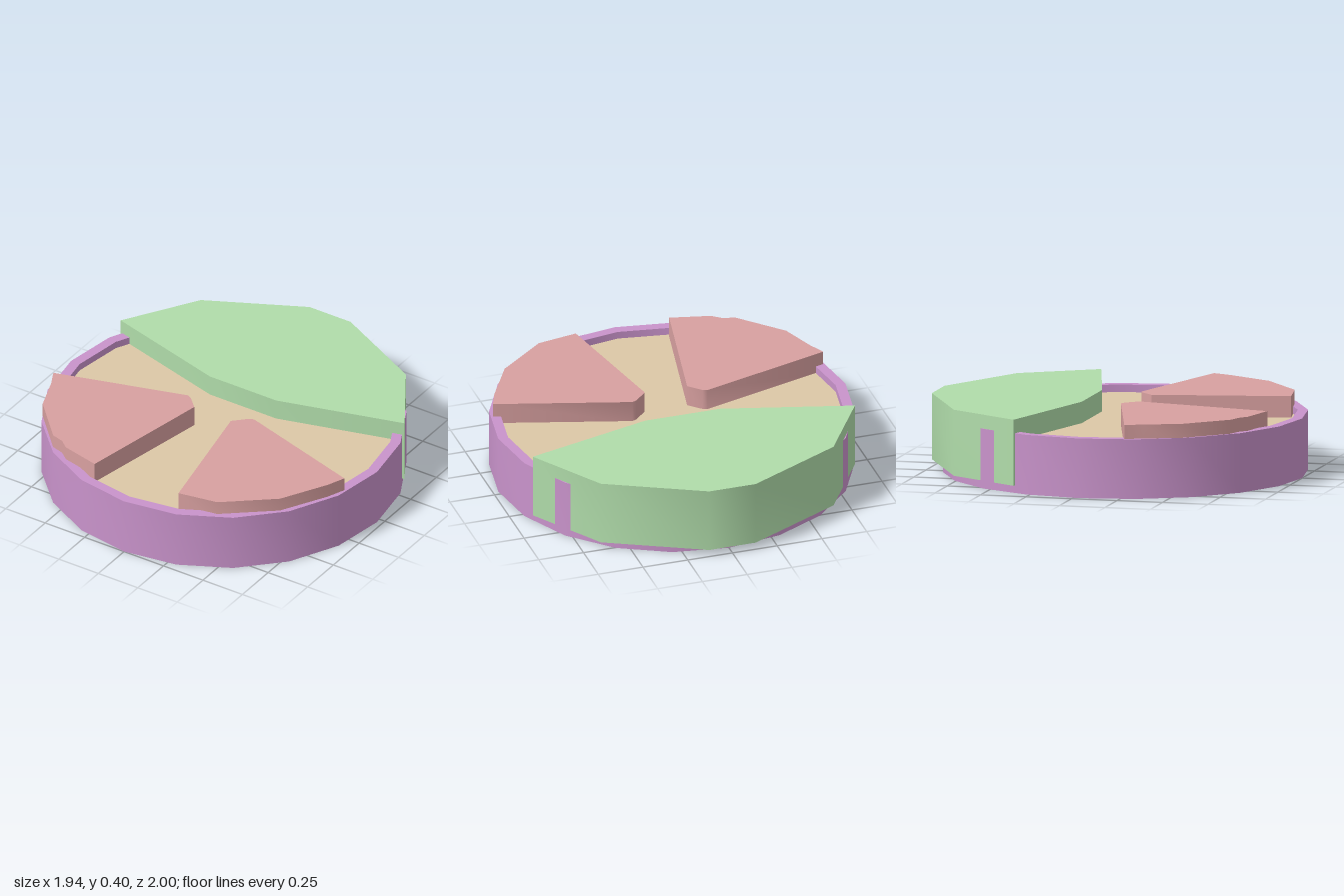
import * as THREE from 'three';
import { toCreasedNormals } from 'three/addons/utils/BufferGeometryUtils.js';

const SIDES = 20;
const CENTER_Z = 0.03;

function addMesh(group, name, geometry, color) {
  const mesh = new THREE.Mesh(
    toCreasedNormals(geometry, 0.7),
    new THREE.MeshStandardMaterial({ color })
  );
  mesh.name = name;
  group.add(mesh);
  return mesh;
}

// Upright slab from an outline of [x, z] corners, between two heights
function slab(outline, bottom, top) {
  const shape = new THREE.Shape(outline.map(([x, z]) => new THREE.Vector2(x, -z)));
  const geometry = new THREE.ExtrudeGeometry(shape, { depth: top - bottom, bevelEnabled: false });
  geometry.rotateX(-Math.PI / 2);
  geometry.translate(0, bottom, 0);
  return geometry;
}

export function createModel() {
  const model = new THREE.Group();
  model.name = 'roundDial';

  // Outer ring with a rectangular section
  const section = [[0.915, 0], [0.97, 0], [0.97, 0.32], [0.915, 0.32], [0.915, 0]];
  const ring = new THREE.LatheGeometry(section.map(([r, y]) => new THREE.Vector2(r, y)), SIDES);
  addMesh(model, 'rim', ring, 0xc993cb).position.z = CENTER_Z;

  // Plates closing the ring, slightly recessed at both ends
  const face = new THREE.CylinderGeometry(0.915, 0.915, 0.06, SIDES);
  addMesh(model, 'facePlate', face, 0xdcc8a6).position.set(0, 0.25, CENTER_Z);
  const base = new THREE.CylinderGeometry(0.915, 0.915, 0.04, SIDES);
  addMesh(model, 'basePlate', base, 0x9a9edb).position.set(0, 0.035, CENTER_Z);

  // Large rear segment that hangs over the rim
  const half = [[0.21, -0.155], [0.9, -0.345], [0.65, -0.74], [0.13, -1]];
  const mirrored = half.map(([x, z]) => [-x, z]).reverse();
  addMesh(model, 'rearSegment', slab([...half, ...mirrored], 0.04, 0.395), 0xb0dcaa);

  // Two front wedges with blunt inner tips
  const leftWedge = [
    [0.21, 0.06], [0.185, 0.07], [0.115, 0.14], [0.26, 0.87],
    [0.48, 0.83], [0.74, 0.62], [0.88, 0.37], [0.92, 0.27],
  ];
  const rightWedge = [
    [-0.21, 0.06], [-0.185, 0.07], [-0.12, 0.135], [-0.265, 0.88], [-0.48, 0.83],
    [-0.53, 0.79], [-0.6, 0.77], [-0.81, 0.55], [-0.88, 0.36], [-0.925, 0.27],
  ];
  addMesh(model, 'leftWedge', slab(leftWedge, 0.27, 0.395), 0xd8a0a0);
  addMesh(model, 'rightWedge', slab(rightWedge, 0.27, 0.395), 0xd8a0a0);

  return model;
}
